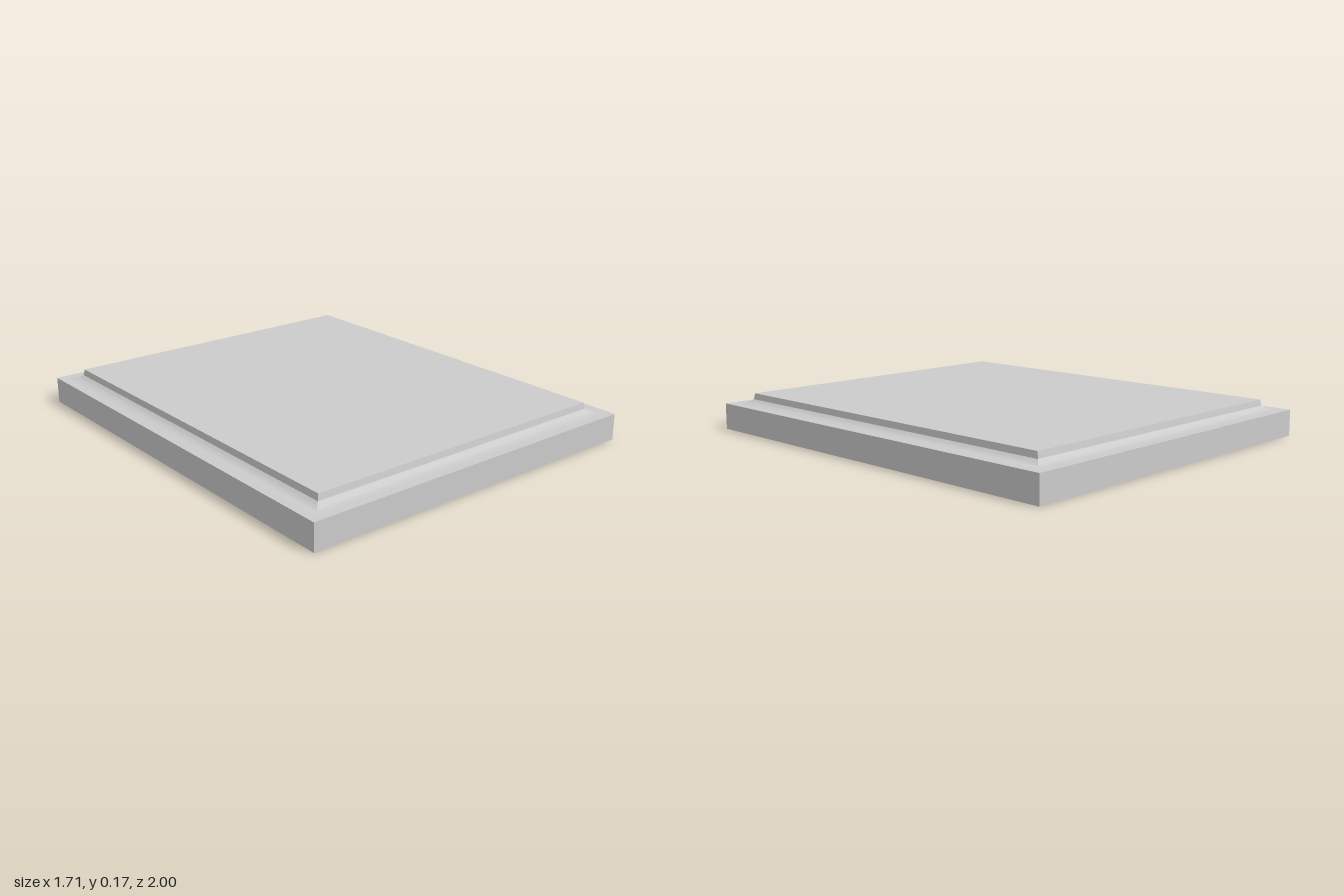
import * as THREE from 'three';
import { toCreasedNormals } from 'three/addons/utils/BufferGeometryUtils.js';

const BASE_HEIGHT = 0.122;
const HALF_X = 0.853, HALF_Z = 1;

// Sweeps a profile of [half width, height] points, bottom to top, around a rectangle
function rectangularLoft(profile, capped) {
  const corners = [[-1, 1], [1, 1], [1, -1], [-1, -1]];
  const at = ([w, y], i) => {
    const [sx, sz] = corners[i % 4];
    return [sx * w, y, sz * (w + HALF_Z - HALF_X)];
  };
  const positions = [];
  const quad = (a, b, c, d) => positions.push(...a, ...b, ...c, ...a, ...c, ...d);
  for (let k = 0; k < profile.length - 1; k++) {
    for (let i = 0; i < 4; i++) {
      quad(at(profile[k], i), at(profile[k], i + 1), at(profile[k + 1], i + 1), at(profile[k + 1], i));
    }
  }
  if (capped) {
    const top = profile[profile.length - 1];
    quad(at(top, 0), at(top, 1), at(top, 2), at(top, 3));
  }
  const geometry = new THREE.BufferGeometry();
  geometry.setAttribute('position', new THREE.Float32BufferAttribute(positions, 3));
  return toCreasedNormals(geometry, Math.PI / 9);
}

export function createModel() {
  const group = new THREE.Group();
  group.name = 'panelledSlab';
  const material = new THREE.MeshStandardMaterial({ color: 0xcccccc });
  const add = (name, geometry) => {
    const mesh = new THREE.Mesh(geometry, material);
    mesh.name = name;
    group.add(mesh);
    return mesh;
  };

  // Plain rectangular slab
  add('base', new THREE.BoxGeometry(2 * HALF_X, BASE_HEIGHT, 2 * HALF_Z)).position.y = BASE_HEIGHT / 2;

  // Concave moulding sweeping from the slab up to the panel
  const cove = new THREE.QuadraticBezierCurve(
    new THREE.Vector2(0.815, BASE_HEIGHT),
    new THREE.Vector2(0.778, 0.124),
    new THREE.Vector2(0.759, 0.142)
  );
  add('coveMoulding', rectangularLoft(cove.getPoints(8).map((p) => [p.x, p.y]), false));

  // Raised panel with slightly tapered edges
  add('raisedPanel', rectangularLoft([[0.759, 0.142], [0.754, 0.17]], true));

  return group;
}
